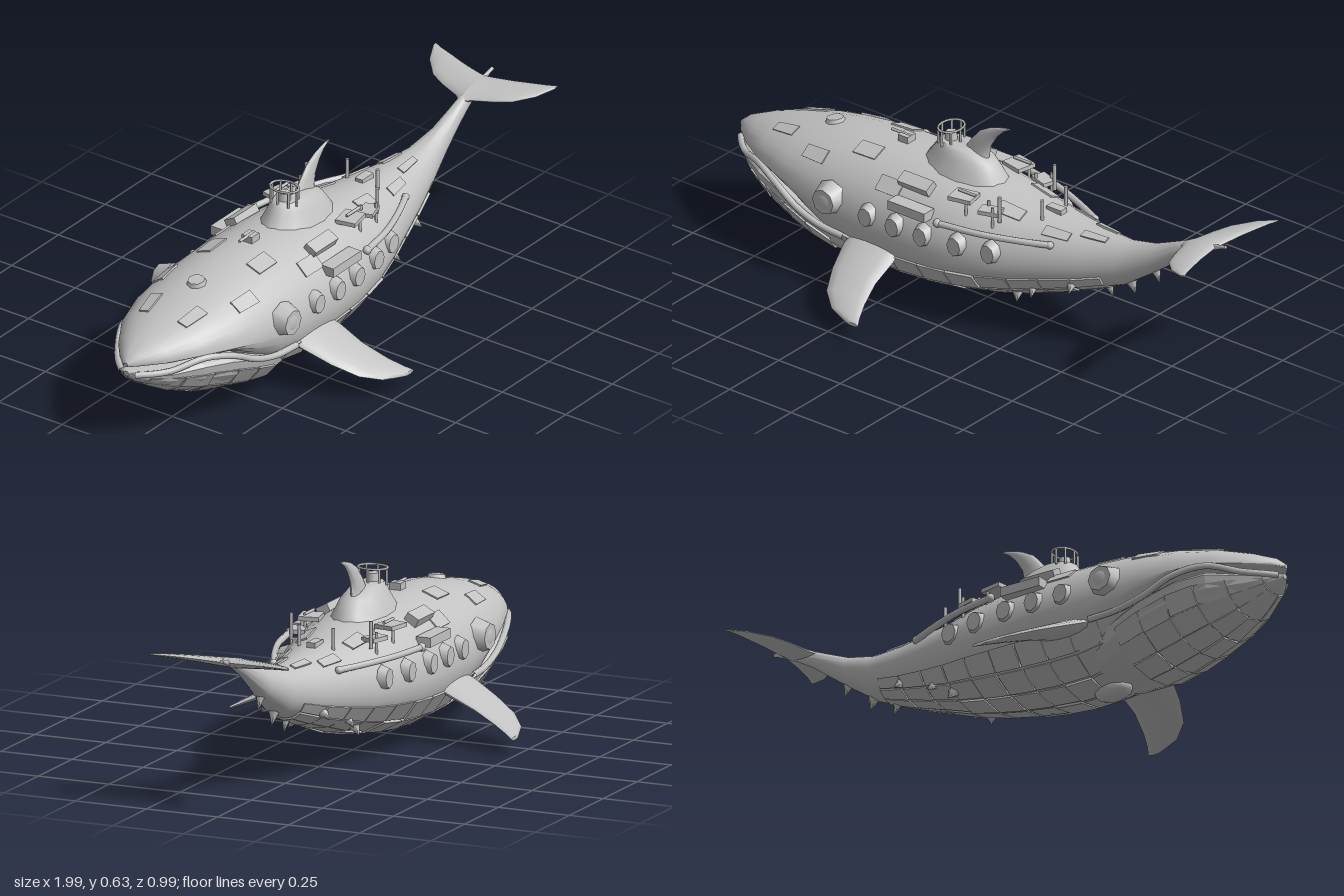
import * as THREE from 'three';
import { toCreasedNormals } from 'three/addons/utils/BufferGeometryUtils.js';

const hullGrey = new THREE.MeshStandardMaterial({ color: 0xc2c2c2 });
hullGrey.name = 'hull grey';

// Cross-sections along x: [x, top, widest height, bottom, half width]
const HULL = [
  [-1, .305, .295, .29, .008], [-.97, .33, .298, .287, .045], [-.9, .358, .296, .282, .103],
  [-.8, .388, .298, .283, .165], [-.68, .417, .285, .25, .207], [-.58, .436, .268, .16, .226],
  [-.48, .448, .255, .08, .238], [-.36, .455, .245, .038, .243], [-.2, .457, .24, .036, .245],
  [-.05, .45, .24, .05, .238], [.1, .43, .245, .08, .213], [.2, .412, .25, .105, .183],
  [.33, .4, .265, .15, .14], [.45, .39, .285, .19, .103], [.57, .392, .315, .238, .065],
  [.68, .418, .365, .315, .038], [.76, .452, .415, .375, .026], [.82, .478, .447, .42, .02],
  [.88, .487, .472, .457, .012], [.96, .502, .498, .494, .004],
];
const JAW = [
  [-.995, .272, .265, .255, .012], [-.96, .268, .255, .225, .056], [-.9, .27, .25, .18, .107],
  [-.8, .287, .255, .128, .17], [-.7, .27, .24, .093, .202], [-.58, .24, .2, .06, .217],
  [-.48, .2, .16, .042, .21], [-.36, .16, .12, .04, .17],
];

const v = (x, y, z) => new THREE.Vector3(x, y, z);

// Closed solid through rings of points, turned outward whatever the ring order
function loft(rings, crease = 0.6) {
  const n = rings[0].length, last = (rings.length - 1) * n;
  const pts = rings.flat(), faces = [];
  for (let r = 0; r < rings.length - 1; r++) {
    for (let i = 0; i < n; i++) {
      const a = r * n + i, b = r * n + (i + 1) % n;
      faces.push([a, b, b + n], [a, b + n, a + n]);
    }
  }
  for (let i = 1; i < n - 1; i++) faces.push([0, i + 1, i], [last, last + i, last + i + 1]);
  const cross = new THREE.Vector3();
  const volume = faces.reduce((t, [a, b, c]) => t + pts[a].dot(cross.crossVectors(pts[b], pts[c])), 0);
  const g = new THREE.BufferGeometry().setFromPoints(pts);
  g.setIndex(faces.flatMap(([a, b, c]) => (volume > 0 ? [a, b, c] : [a, c, b])));
  return toCreasedNormals(g, crease);
}

function onSection([x, top, mid, bot, w], a, out = 0) {
  const s = Math.sin(a), c = Math.cos(a);
  return v(x, mid + (s > 0 ? top - mid : mid - bot) * s + out * s, w * c + out * c);
}

// Point on a lofted body at x and angle, pushed outward
function surface(table, x, a, out = 0) {
  let i = 0;
  while (i < table.length - 2 && table[i + 1][0] < x) i++;
  const p = table[i], q = table[i + 1], t = (x - p[0]) / (q[0] - p[0]);
  return onSection(p.map((e, k) => e + (q[k] - e) * t), a, out);
}

const ringAngles = n => Array.from({ length: n }, (_, i) => (i / n) * Math.PI * 2);
const body = (table, n, crease) =>
  loft(table.map(s => ringAngles(n).map(a => onSection(s, a))), crease);

// Blade of oval sections: [span, lead, trail, offset, half thickness]
const blade = (stations, place) => loft(stations.map(([s, lead, trail, off, th]) =>
  ringAngles(14).map(a => place(s, (lead + trail) / 2 + (trail - lead) / 2 * Math.cos(a), off + th * Math.sin(a)))), 0.9);

// Thin armour plate lying on a body
function plate(table, x0, x1, a0, a1, out) {
  return loft([-.012, out].map(o => [
    surface(table, x0, a0, o), surface(table, x1, a0, o),
    surface(table, x1, a1, o), surface(table, x0, a1, o)]), 0.1);
}

export function createModel() {
  const model = new THREE.Group();
  model.name = 'whaleSubmarine';
  const add = (name, geometry, pos = [0, 0, 0], rot = [0, 0, 0], scale = [1, 1, 1]) => {
    const m = new THREE.Mesh(geometry, hullGrey);
    m.name = name;
    m.position.set(...pos);
    m.rotation.set(...rot);
    m.scale.set(...scale);
    model.add(m);
    return m;
  };
  const box = (name, w, h, d, pos, rot) => add(name, new THREE.BoxGeometry(w, h, d), pos, rot);
  const rod = (name, r, h, pos, rot) => add(name, new THREE.CylinderGeometry(r, r, h, 8), pos, rot);
  // Spike or bump aimed away from the hull
  const spike = (name, x, a, r, h, lean) => {
    const m = add(name, new THREE.ConeGeometry(r, h, 6), surface(HULL, x, a, h * 0.25).toArray());
    m.quaternion.setFromUnitVectors(v(0, 1, 0), v(lean, Math.sin(a), Math.cos(a)).normalize());
  };

  // Main body and jaw
  add('hull', body(HULL, 30, 0.5));
  add('lowerJaw', body(JAW, 18, 0.2));

  // Armour plates: belly, jaw and back
  for (let i = 0; i < 9; i++) {
    for (let j = 0; j < 6; j++) {
      const x = -.42 + i * .105, a = -2.8 + j * .42;
      add('bellyPlate', plate(HULL, x, x + .1, a, a + .38, .004 + ((i * 5 + j * 3) % 4) * .0015));
    }
  }
  for (let i = 0; i < 5; i++) {
    for (let j = 0; j < 6; j++) {
      const x = -.95 + i * .095, a = -2.95 + j * .46;
      add('jawPlate', plate(JAW, x, x + .09, a, a + .44, .002 + ((i + j * 2) % 3) * .002));
    }
  }
  for (const [x, a] of [[-.8, 1.1], [-.62, .8], [-.45, 1.15], [-.3, .75], [.12, 1.1], [.3, .95], [.42, 1.2]]) {
    for (const ang of [a, Math.PI - a]) add('backPlate', plate(HULL, x, x + .09, ang - .12, ang + .12, .005));
  }

  for (const s of [1, -1]) {
    // Lip along the mouth line
    const lip = [[-.985, .262, .025], [-.95, .262, .063], [-.9, .265, .105], [-.8, .288, .166], [-.7, .265, .206],
      [-.6, .215, .222], [-.5, .187, .229], [-.4, .18, .233]].map(([x, y, z]) => v(x, y, s * z));
    add('lip', new THREE.TubeGeometry(new THREE.CatmullRomCurve3(lip), 28, .011, 8));

    // Flippers and tail flukes
    add('flipper', blade([
      [.18, -.4, -.2, .19, .032], [.25, -.388, -.185, .165, .026], [.34, -.36, -.185, .125, .02],
      [.42, -.32, -.165, .09, .014], [.47, -.26, -.145, .068, .01], [.497, -.18, -.13, .056, .006],
    ], (z, x, y) => v(x, y, s * z)));
    add('tailFluke', blade([
      [0, .79, .93, 0, .018], [.03, .812, .935, 0, .016], [.1, .835, .95, .002, .012],
      [.155, .86, .965, .003, .009], [.21, .915, .98, .003, .006], [.24, .975, .992, .002, .003],
    ], (z, x, y) => v(x, .46 + (x - .8) * .22 + y, s * z)));

    // Eye housing
    add('eyeHousing', new THREE.CylinderGeometry(.043, .06, .05, 8), [-.46, .297, s * .24], [s * Math.PI / 2, 0, 0]);
    add('eyeLens', new THREE.SphereGeometry(.034, 12, 8), [-.46, .297, s * .258], [0, 0, 0], [1, 1, .3]);

    // Portholes
    for (const x of [-.3, -.19, -.08, .045, .16]) {
      const p = surface(HULL, x, .2);
      add('porthole', new THREE.CylinderGeometry(.027, .036, .03, 8), [x, .29, s * p.z],
        [s * Math.PI / 2, 0, 0], [1, 1, 1.2]);
    }

    // Side locker and long pipe
    box('sideLocker', .15, .032, .05, [-.14, .36, s * .217]);
    add('sidePipe', new THREE.TubeGeometry(new THREE.CatmullRomCurve3([
      v(-.02, .355, s * .232), v(.12, .353, s * .205), v(.25, .35, s * .158), v(.345, .348, s * .115)]), 16, .011, 8));
    add('pipeCap', new THREE.SphereGeometry(.015, 8, 6), [-.02, .355, s * .232]);
    add('pipeCap', new THREE.SphereGeometry(.013, 8, 6), [.345, .348, s * .115]);

    // Deck lockers, platforms and posts
    box('deckLocker', .12, .03, .045, [-.165, .417, s * .155], [s * .5, 0, 0]);
    box('deckPlatform', .08, .014, .07, [.015, .425, s * .14], [0, s * .2, 0]);
    box('deckPlatform', .07, .014, .05, [.12, .405, s * .135], [0, s * .3, 0]);
    for (const [x, z] of [[-.01, .12], [.04, .16], [.1, .12], [.14, .15]]) rod('platformLeg', .005, .08, [x, .39, s * z]);
    rod('deckPost', .006, .09, [.16, .425, s * .14]);
    rod('deckPost', .006, .09, [.27, .418, s * .06]);
    rod('deckGun', .005, .07, [.03, .443, s * .14], [0, 0, Math.PI / 2]);

    // Paired belly spikes
    for (const [x, a, r] of [[.21, -.95, .026], [.28, -.75, .02], [.42, -.6, .024]]) {
      spike('bellySpike', x, s > 0 ? a : Math.PI - a, r, .05, .3);
    }
  }

  // Tail spikes under the centre line
  for (const [x, r] of [[.5, .02], [.59, .025], [.69, .02]]) spike('tailSpike', x, -Math.PI / 2, r, .06, .4);
  rod('tailRod', .006, .12, [.91, .488, 0], [0, 0, -1.35]);

  // Keel bulge
  add('keelBulge', new THREE.SphereGeometry(1, 10, 8), [-.335, .04, 0], [0, 0, 0], [.07, .04, .045]);

  // Conning hump and dorsal fin
  const upright = (y, x, z) => v(x, y, z);
  add('conningHump', blade([
    [.4, -.28, .09, 0, .11], [.45, -.24, .06, 0, .085], [.49, -.21, .03, 0, .066],
    [.513, -.195, -.02, 0, .052], [.522, -.185, -.05, 0, .044],
  ], upright));
  add('dorsalFin', blade([
    [.44, -.14, .06, 0, .03], [.5, -.1, .005, 0, .02], [.55, -.065, .015, 0, .014],
    [.59, -.03, .04, 0, .01], [.615, .015, .065, 0, .006], [.631, .07, .095, 0, .003],
  ], upright));

  // Lookout rail on the hump
  add('lookoutRail', new THREE.TorusGeometry(.047, .004, 6, 16), [-.148, .566, 0], [Math.PI / 2, 0, 0], [.8, 1.06, 1]);
  for (const a of ringAngles(8)) rod('railPost', .004, .055, [-.148 + .037 * Math.cos(a), .539, .049 * Math.sin(a)]);
  add('lookoutHatch', new THREE.CylinderGeometry(.018, .022, .03, 10), [-.148, .533, 0]);

  // Deck gun, hatches and aft box along the spine
  box('gunMount', .04, .03, .04, [-.33, .462, 0]);
  rod('gunBarrel', .005, .08, [-.35, .475, 0], [0, 0, Math.PI / 2]);
  add('foreHatch', new THREE.CylinderGeometry(.028, .034, .016, 8), [-.62, .432, 0], [0, 0, .15]);
  box('aftBox', .06, .02, .03, [.28, .408, 0]);
  return model;
}
